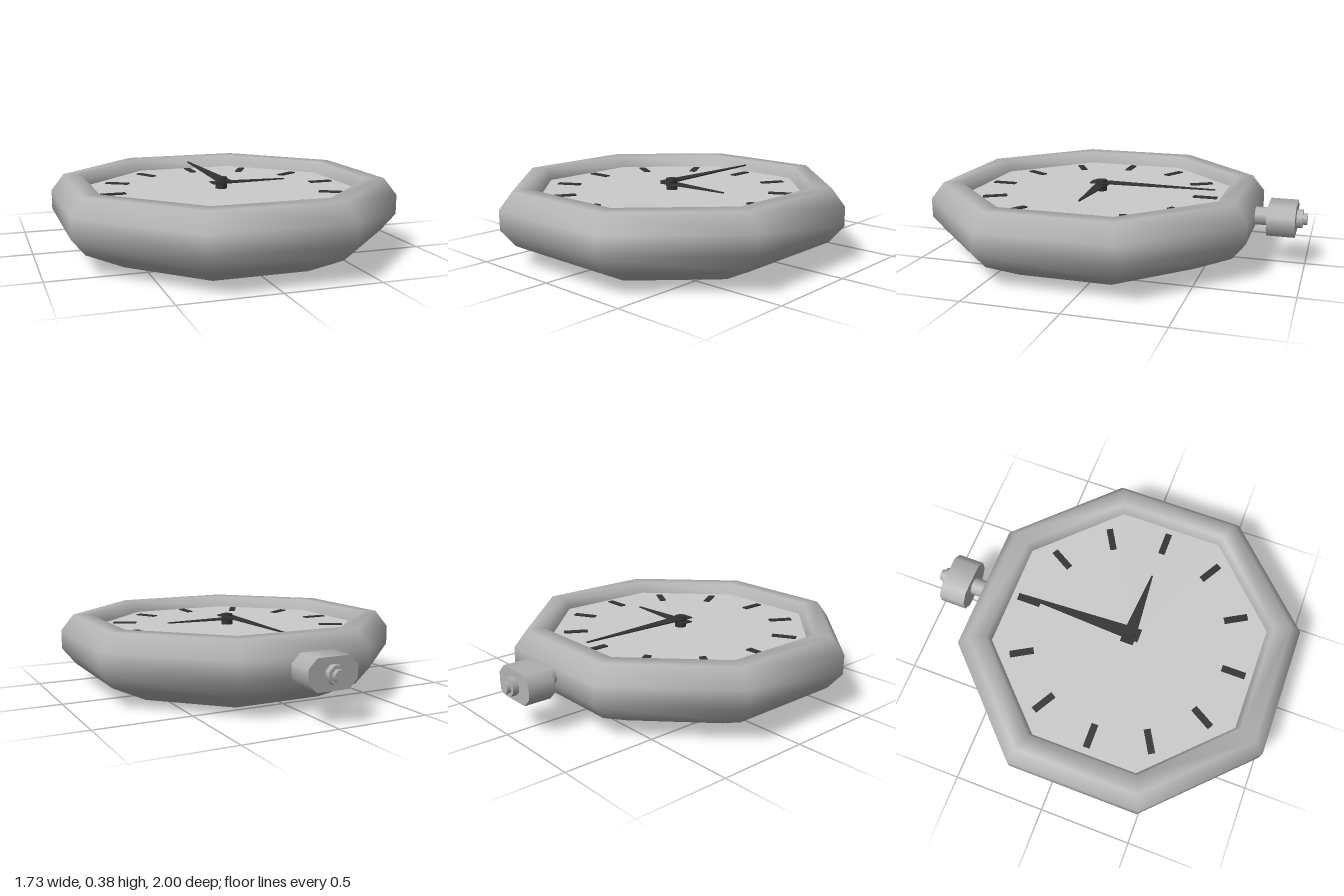
import * as THREE from 'three';

const caseGrey = new THREE.MeshStandardMaterial({ color: 0xb3b3b3 });
const grey = new THREE.MeshStandardMaterial({ color: 0xcccccc });
const dark = new THREE.MeshStandardMaterial({ color: 0x333333, flatShading: true });

const DIAL_Y = 0.32;
const CORNER = 1 / Math.cos(Math.PI / 8); // flat-to-flat radius -> corner radius

function add(parent, name, geometry, material) {
  const mesh = new THREE.Mesh(geometry, material);
  mesh.name = name;
  parent.add(mesh);
  return mesh;
}

// Eight-sided turned shape; profile points are [flat radius, height]
function octagonLathe(profile) {
  const points = profile.map(([r, y]) => new THREE.Vector2(r * CORNER, y));
  return new THREE.LatheGeometry(points, 8, Math.PI / 8);
}

// Thin tapered hand pointing along -z, with a short square tail
function handGeometry(length, halfWidth, tail) {
  const shape = new THREE.Shape();
  shape.moveTo(-halfWidth, -tail);
  shape.lineTo(halfWidth, -tail);
  shape.lineTo(halfWidth, 0);
  shape.lineTo(0.004, length);
  shape.lineTo(-0.004, length);
  shape.lineTo(-halfWidth, 0);
  const geometry = new THREE.ExtrudeGeometry(shape, { depth: 0.006, bevelEnabled: false });
  return geometry.rotateX(-Math.PI / 2);
}

// Eight-sided bar along z whose halves are pulled apart sideways by spread
function crownGeometry(radius, z0, z1, spread) {
  const r = radius * CORNER;
  const geometry = new THREE.CylinderGeometry(r, r, z0 - z1, 8);
  geometry.rotateY(Math.PI / 8).rotateX(Math.PI / 2).translate(0, 0, (z0 + z1) / 2);
  const position = geometry.attributes.position;
  for (let i = 0; i < position.count; i++) {
    const x = position.getX(i);
    if (Math.abs(x) > 0.001) position.setX(i, x + Math.sign(x) * spread);
  }
  return geometry;
}

export function createModel() {
  const model = new THREE.Group();
  model.name = 'pocketWatch';

  const watch = new THREE.Group();
  watch.name = 'watch';
  watch.position.z = 0.135;
  model.add(watch);

  // Rounded octagonal case with its rim and recessed wall, then the dial
  add(watch, 'case', octagonLathe([
    [0, 0], [0.594, 0], [0.795, 0.102], [0.865, 0.192],
    [0.865, 0.295], [0.8, 0.385], [0.712, 0.385], [0.69, DIAL_Y],
  ]), caseGrey);
  add(watch, 'dial', octagonLathe([[0.69, DIAL_Y], [0, DIAL_Y]]), grey);

  // Twelve hour marks
  const marks = new THREE.Group();
  marks.name = 'hourMarks';
  watch.add(marks);
  for (let i = 0; i < 12; i++) {
    const geometry = new THREE.BoxGeometry(0.036, 0.008, 0.13);
    geometry.translate(0, DIAL_Y + 0.002, -0.59).rotateY(i * Math.PI / 6);
    add(marks, 'hourMark', geometry, dark);
  }

  // Hands held above the dial by the centre pin
  const hourHand = add(watch, 'hourHand', handGeometry(0.365, 0.036, 0.056), dark);
  hourHand.position.y = DIAL_Y + 0.028;
  hourHand.rotation.y = -Math.PI / 2;
  const minuteHand = add(watch, 'minuteHand', handGeometry(0.645, 0.037, 0.056), dark);
  minuteHand.position.y = DIAL_Y + 0.044;
  const pin = add(watch, 'centrePin', new THREE.CylinderGeometry(0.032, 0.032, 0.06, 12), dark);
  pin.position.y = DIAL_Y + 0.03;

  // Winding crown: each part is [name, radius, from z, to z, sideways spread]
  const crown = new THREE.Group();
  crown.name = 'crown';
  crown.position.y = 0.245;
  model.add(crown);
  const parts = [
    ['stem', 0.045, -0.7, -0.81, 0],
    ['knob', 0.08, -0.8, -0.945, 0.055],
    ['cap', 0.045, -0.94, -0.977, 0],
    ['tip', 0.028, -0.97, -1, 0],
  ];
  for (const [name, radius, z0, z1, spread] of parts) {
    add(crown, name, crownGeometry(radius, z0, z1, spread), caseGrey);
  }
  return model;
}
